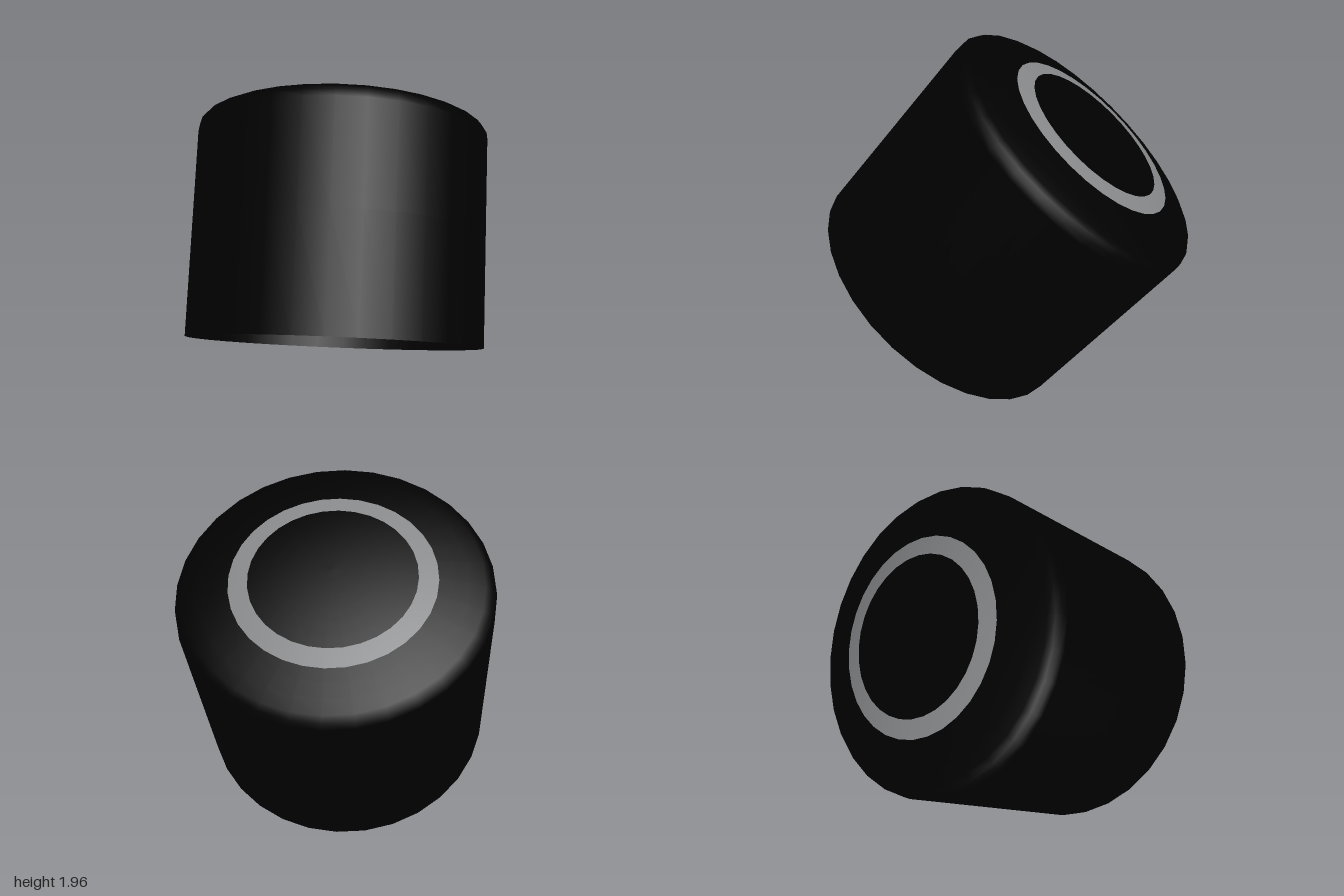
import * as THREE from 'three';

export function createModel() {
  // The shell is open underneath, so its inside shows too
  const black = new THREE.MeshStandardMaterial({ color: 0x000000, side: THREE.DoubleSide });
  black.name = 'black';
  const grey = new THREE.MeshStandardMaterial({ color: 0x868789 });
  grey.name = 'grey';

  const SEGMENTS = 32, RADIUS = 0.82, SLANT = 0.026;
  const cap = new THREE.Group();
  cap.name = 'tiltedCap';

  // Turn a profile, shift it in z, then slant it so the top is a little higher in front
  const add = (name, points, material, shift = 0) => {
    const geometry = new THREE.LatheGeometry(points.map(([r, y]) => new THREE.Vector2(r, y)), SEGMENTS);
    geometry.translate(0, 0, shift);
    const p = geometry.attributes.position;
    for (let i = 0; i < p.count; i++) {
      p.setY(i, p.getY(i) * (1 + (SLANT * p.getZ(i)) / 1.2));
    }
    const mesh = new THREE.Mesh(geometry, material);
    mesh.name = name;
    cap.add(mesh);
  };

  // Points along the shallow dome between two radii
  const domeRun = (from, to, steps, lift = 0) =>
    Array.from({ length: steps + 1 }, (_, i) => {
      const r = from + ((to - from) * i) / steps;
      return [r, 1.325 - 0.185 * r * r + lift];
    });

  // Hollow shell: straight wall, rounded shoulder and domed top
  add('shell', [
    [RADIUS, 0], [RADIUS, 0.6], [RADIUS, 1.14], [0.815, 1.175], [0.795, 1.2],
    ...domeRun(0.76, 0, 10),
  ], black);

  // Thin painted ring that follows the dome
  add('topRing', domeRun(0.527, 0.427, 3, 0.006), grey, -0.018);

  // Lean the cap backwards so it rests on the rear edge of its rim
  cap.rotation.x = -0.674;
  cap.position.set(0, 0.512, 0.36);

  const model = new THREE.Group();
  model.name = 'model';
  model.add(cap);
  return model;
}
